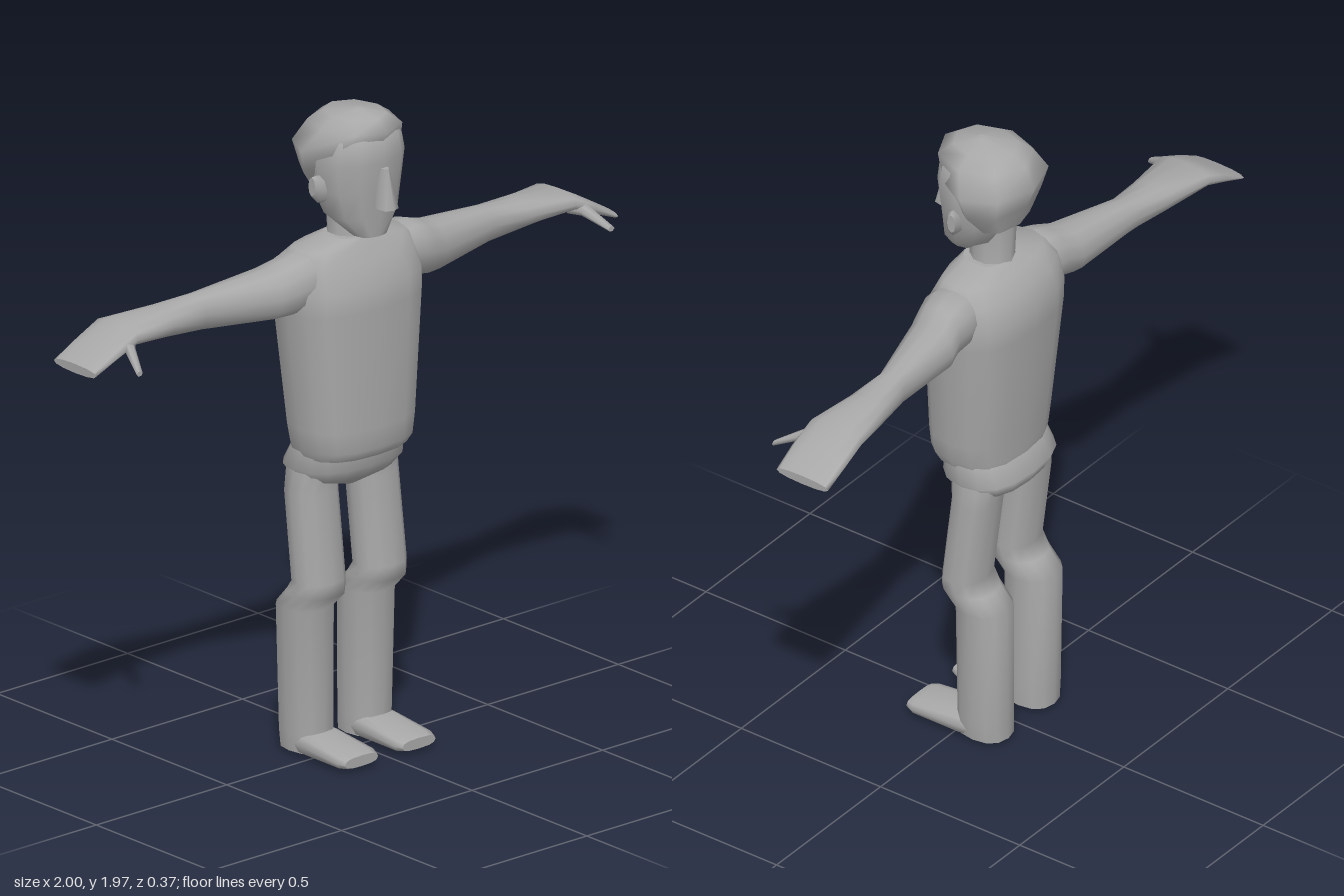
import * as THREE from 'three';

const grey = new THREE.MeshStandardMaterial({ color: 0xa8a8a8 });
grey.name = 'plain grey';

// Skin through rounded cross-sections [t, u0, u1, v0, v1] stacked with rising t.
// Axis 'y': t=y u=z v=x.  Axis 'x': t=x u=y v=z.  Axis 'z': t=z u=x v=y.
function loft(name, axis, rings, sides = 12, n = 2) {
  const pos = [], idx = [];
  const put = (t, u, v) => {
    if (axis === 'y') pos.push(v, t, u);
    else if (axis === 'x') pos.push(t, u, v);
    else pos.push(u, v, t);
  };
  const round = (c) => Math.sign(c) * Math.pow(Math.abs(c), 2 / n);
  const addRing = ([t, u0, u1, v0, v1]) => {
    for (let k = 0; k < sides; k++) {
      const a = (k / sides) * Math.PI * 2;
      put(t, (u0 + u1) / 2 + round(Math.cos(a)) * (u1 - u0) / 2,
        (v0 + v1) / 2 + round(Math.sin(a)) * (v1 - v0) / 2);
    }
  };
  rings.forEach(addRing);
  for (let i = 0; i < rings.length - 1; i++) {
    for (let k = 0; k < sides; k++) {
      const a = i * sides + k, b = i * sides + (k + 1) % sides;
      idx.push(a, b, b + sides, a, b + sides, a + sides);
    }
  }
  // End caps with their own corners keep the rims sharp
  for (const end of [0, 1]) {
    const r = rings[end ? rings.length - 1 : 0], start = pos.length / 3;
    addRing(r);
    put(r[0], (r[1] + r[2]) / 2, (r[3] + r[4]) / 2);
    for (let k = 0; k < sides; k++) {
      const a = start + k, b = start + (k + 1) % sides, c = start + sides;
      if (end) idx.push(c, a, b); else idx.push(c, b, a);
    }
  }
  const g = new THREE.BufferGeometry();
  g.setAttribute('position', new THREE.Float32BufferAttribute(pos, 3));
  g.setIndex(idx);
  g.computeVertexNormals();
  const mesh = new THREE.Mesh(g, grey);
  mesh.name = name;
  return mesh;
}

// Vertical part: rows of [y, back z, front z, half width, centre x]
const upright = (name, rows, sides, n) => loft(name, 'y',
  rows.map(([y, zb, zf, r, x = 0]) => [y, zb, zf, x - r, x + r]), sides, n);

// Sideways part, mirrored for s = -1
const sideways = (name, s, rings, sides, n) => loft(name, 'x',
  s > 0 ? rings : rings.map(([t, ...r]) => [-t, ...r]).reverse(), sides, n);

export function createModel() {
  const model = new THREE.Group();
  model.name = 'figure';
  const body = new THREE.Group();
  body.name = 'body';
  body.position.x = -0.018;
  model.add(body);

  // Torso, pelvis and neck
  body.add(upright('torso', [
    [0.925, -0.135, 0.11, 0.175], [0.955, -0.14, 0.13, 0.187], [1.02, -0.143, 0.13, 0.2],
    [1.38, -0.172, 0.13, 0.235], [1.45, -0.175, 0.13, 0.235], [1.52, -0.15, 0.095, 0.225],
    [1.56, -0.11, 0.075, 0.19], [1.585, -0.075, 0.06, 0.08],
  ], 16, 2.6));
  body.add(upright('pelvis', [
    [0.808, -0.1, 0.0, 0.03], [0.845, -0.15, 0.055, 0.16], [0.885, -0.168, 0.085, 0.19],
    [0.945, -0.135, 0.085, 0.178],
  ], 16, 2.5));
  body.add(upright('neck', [
    [1.53, -0.1, 0.065, 0.08], [1.59, -0.08, 0.05, 0.066], [1.7, -0.085, 0.05, 0.07],
  ], 10));

  // Head: face, nose, hair cap
  body.add(upright('face', [
    [1.6, 0.02, 0.12, 0.055], [1.66, -0.055, 0.125, 0.113], [1.74, -0.1, 0.13, 0.135],
    [1.83, -0.12, 0.14, 0.148], [1.9, -0.1, 0.135, 0.13], [1.94, -0.05, 0.09, 0.08],
  ], 12, 2.2));
  body.add(upright('nose', [
    [1.695, 0.1, 0.182, 0.03], [1.815, 0.1, 0.155, 0.012],
  ], 8, 3));
  body.add(upright('hair', [
    [1.72, -0.113, 0.0, 0.1], [1.79, -0.137, 0.06, 0.155], [1.86, -0.165, 0.11, 0.174],
    [1.925, -0.135, 0.155, 0.13], [1.955, -0.09, 0.11, 0.085], [1.97, 0.015, 0.035, 0.01],
  ], 8));

  for (const s of [1, -1]) {
    const side = s > 0 ? 'left' : 'right';

    body.add(sideways(side + 'Ear', s, [
      [0.11, 1.705, 1.78, 0.0, 0.035], [0.15, 1.71, 1.795, -0.005, 0.04],
      [0.165, 1.73, 1.79, -0.005, 0.025],
    ], 8));

    // Leg with a bent knee
    body.add(upright(side + 'Leg', [
      [0.01, -0.155, 0.005, 0.068, s * 0.11], [0.07, -0.155, 0.005, 0.073, s * 0.112],
      [0.45, -0.155, 0.005, 0.081, s * 0.117], [0.5, -0.11, 0.055, 0.081, s * 0.117],
      [0.54, -0.08, 0.05, 0.081, s * 0.117], [0.81, -0.115, 0.018, 0.08, s * 0.116],
      [0.88, -0.125, 0.03, 0.075, s * 0.108],
    ], 12, 2.4));

    const x0 = s * 0.11 - 0.073, x1 = s * 0.11 + 0.073;
    body.add(loft(side + 'Foot', 'z', [
      [-0.13, x0 + 0.02, x1 - 0.02, 0.0, 0.06], [-0.02, x0, x1, 0.0, 0.075],
      [0.14, x0, x1, 0.005, 0.053], [0.165, x0 + 0.01, x1 - 0.01, 0.012, 0.045],
    ], 12, 2.8));

    // Arm flowing into a flat, drooping hand
    model.add(sideways(side + 'Arm', s, [
      [0.14, 1.41, 1.55, -0.1, 0.07], [0.21, 1.39, 1.56, -0.115, 0.065],
      [0.26, 1.38, 1.545, -0.108, 0.052], [0.315, 1.376, 1.525, -0.125, 0.037],
      [0.55, 1.39, 1.5, -0.125, -0.03], [0.68, 1.402, 1.49, -0.152, -0.02],
      [0.84, 1.42, 1.48, -0.186, 0.003], [0.92, 1.393, 1.437, -0.187, 0.004],
      [1.0, 1.362, 1.39, -0.185, 0.0],
    ], 12, 2.3));

    const span = (a, b) => (s > 0 ? [a, b] : [-b, -a]);
    model.add(loft(side + 'Thumb', 'z', [
      [-0.03, ...span(0.82, 0.87), 1.415, 1.455], [0.0, ...span(0.85, 0.89), 1.41, 1.445],
      [0.08, ...span(0.892, 0.915), 1.375, 1.392],
    ], 6));
  }
  return model;
}
